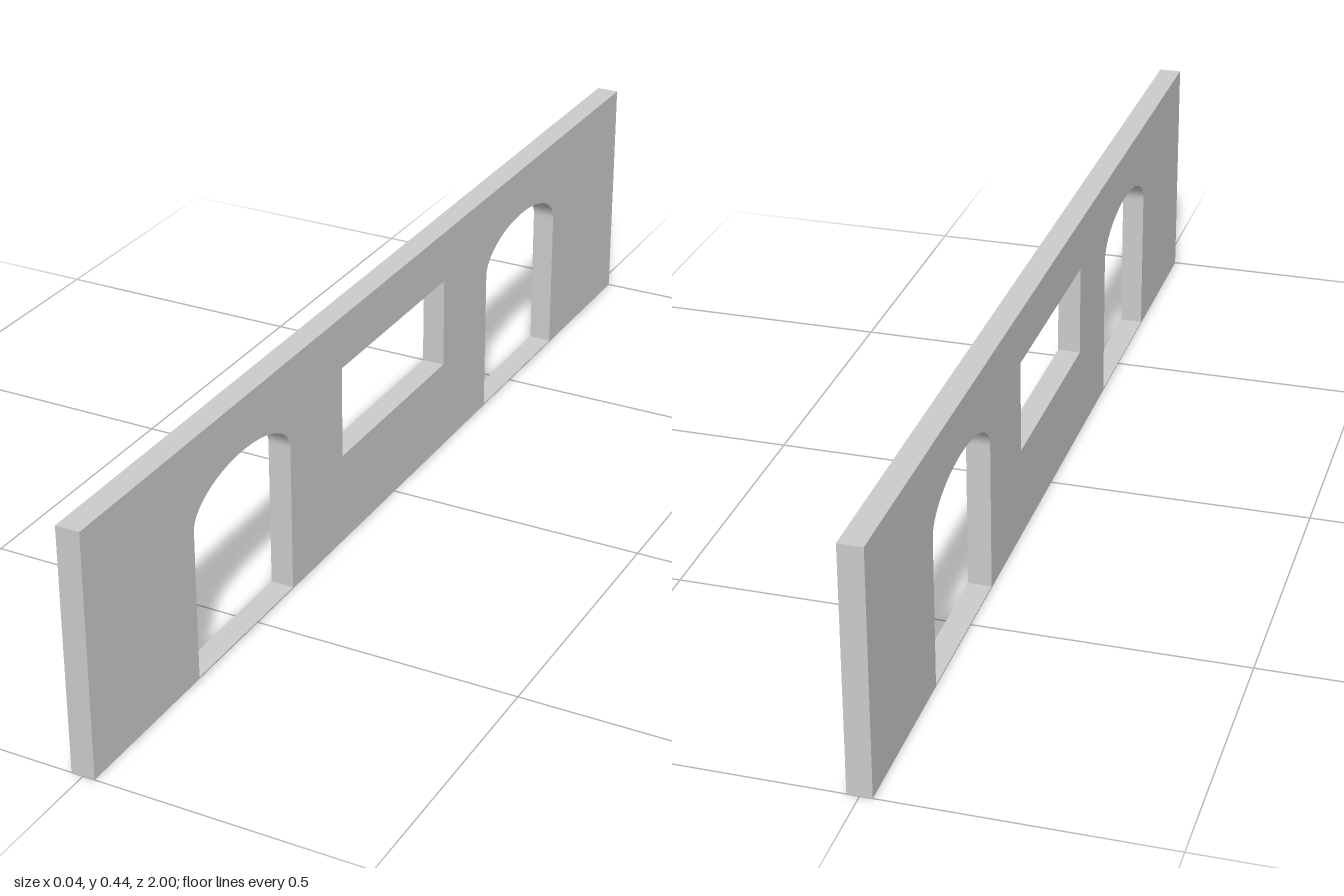
import * as THREE from 'three';

const LENGTH = 2, HEIGHT = 0.438, THICKNESS = 0.042;

// Closed rectangular outline
function rectangle(path, x0, y0, x1, y1) {
  path.moveTo(x0, y0);
  path.lineTo(x1, y0);
  path.lineTo(x1, y1);
  path.lineTo(x0, y1);
  path.closePath();
  return path;
}

// Doorway with a flattened elliptical arch, above a very thin threshold
function archedDoorway(center) {
  const halfWidth = 0.155, sill = 0.003, spring = 0.275, rise = 0.07;
  const path = new THREE.Path();
  path.moveTo(center - halfWidth, sill);
  path.lineTo(center + halfWidth, sill);
  path.lineTo(center + halfWidth, spring);
  path.absellipse(center, spring, halfWidth, rise, 0, Math.PI, false);
  path.closePath();
  return path;
}

export function createModel() {
  const group = new THREE.Group();
  group.name = 'wallPanel';

  // Wall outline with two doorways and a central window
  const outline = rectangle(new THREE.Shape(), -LENGTH / 2, 0, LENGTH / 2, HEIGHT);
  for (const side of [-1, 1]) outline.holes.push(archedDoorway(side * 0.535));
  outline.holes.push(rectangle(new THREE.Path(), -0.198, 0.17, 0.198, 0.341));

  const geometry = new THREE.ExtrudeGeometry(outline, {
    depth: THICKNESS, bevelEnabled: false, curveSegments: 24,
  });
  // Centre the thickness and run the wall along z
  geometry.translate(0, 0, -THICKNESS / 2);
  geometry.rotateY(-Math.PI / 2);

  const wall = new THREE.Mesh(geometry, new THREE.MeshStandardMaterial({ color: 0xcccccc }));
  wall.name = 'wall';
  group.add(wall);
  return group;
}
